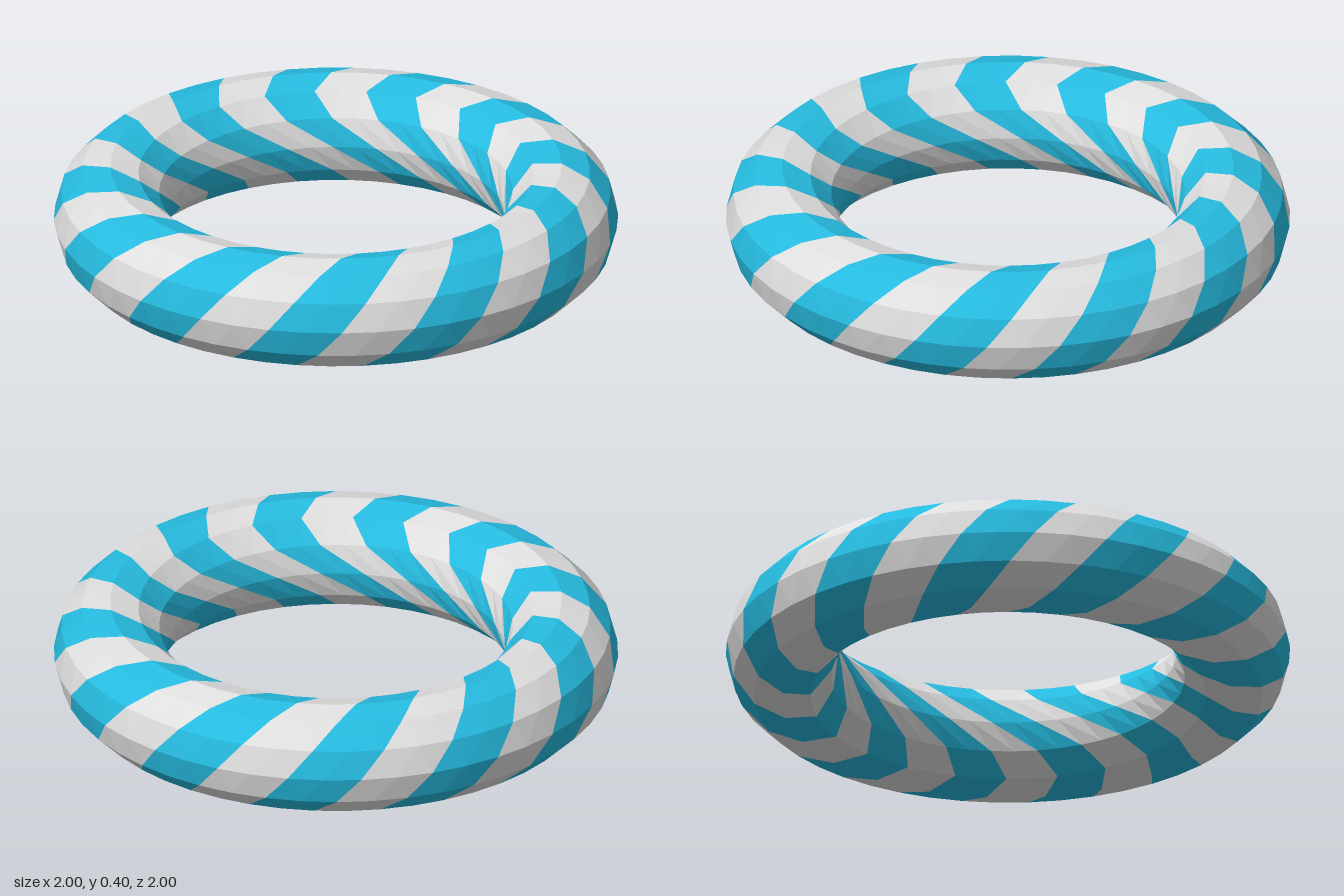
import * as THREE from 'three';

const RING = 0.8, TUBE = 0.2, SIDES = 12, STRIPES = 24, CUTS = 2;
// Degrees each corner of the tube section is turned around the ring, from the outer rim over the top
const TWIST = [-15, -10, -5, 0, 5, 0, -15, -30, -35, -30, -25, -20, -15];

function point(turn, side) {
  const a = THREE.MathUtils.degToRad(turn + TWIST[side]);
  const t = (side / SIDES) * Math.PI * 2;
  const r = RING + TUBE * Math.cos(t);
  return [r * Math.sin(a), TUBE + TUBE * Math.sin(t), r * Math.cos(a)];
}

// Every second twisted stripe, starting at the given one
function stripes(first) {
  const pos = [];
  const width = 360 / STRIPES, step = width / CUTS;
  for (let s = first; s < STRIPES; s += 2) {
    for (let c = 0; c < CUTS; c++) {
      const turn = s * width + c * step;
      for (let j = 0; j < SIDES; j++) {
        const p = point(turn, j), q = point(turn + step, j);
        const u = point(turn + step, j + 1), v = point(turn, j + 1);
        // split each face along its shorter diagonal
        if (TWIST[j + 1] > TWIST[j]) pos.push(...p, ...q, ...v, ...q, ...u, ...v);
        else pos.push(...p, ...q, ...u, ...p, ...u, ...v);
      }
    }
  }
  const geo = new THREE.BufferGeometry();
  geo.setAttribute('position', new THREE.Float32BufferAttribute(pos, 3));
  geo.computeVertexNormals();
  return geo;
}

export function createModel() {
  const group = new THREE.Group();
  group.name = 'stripedRing';
  const white = new THREE.MeshStandardMaterial({ color: 0xdedede });
  white.name = 'white';
  const blue = new THREE.MeshStandardMaterial({ color: 0x26bbe0 });
  blue.name = 'blue';
  [['whiteStripes', 0, white], ['blueStripes', 1, blue]].forEach(([name, first, mat]) => {
    const mesh = new THREE.Mesh(stripes(first), mat);
    mesh.name = name;
    group.add(mesh);
  });
  return group;
}
